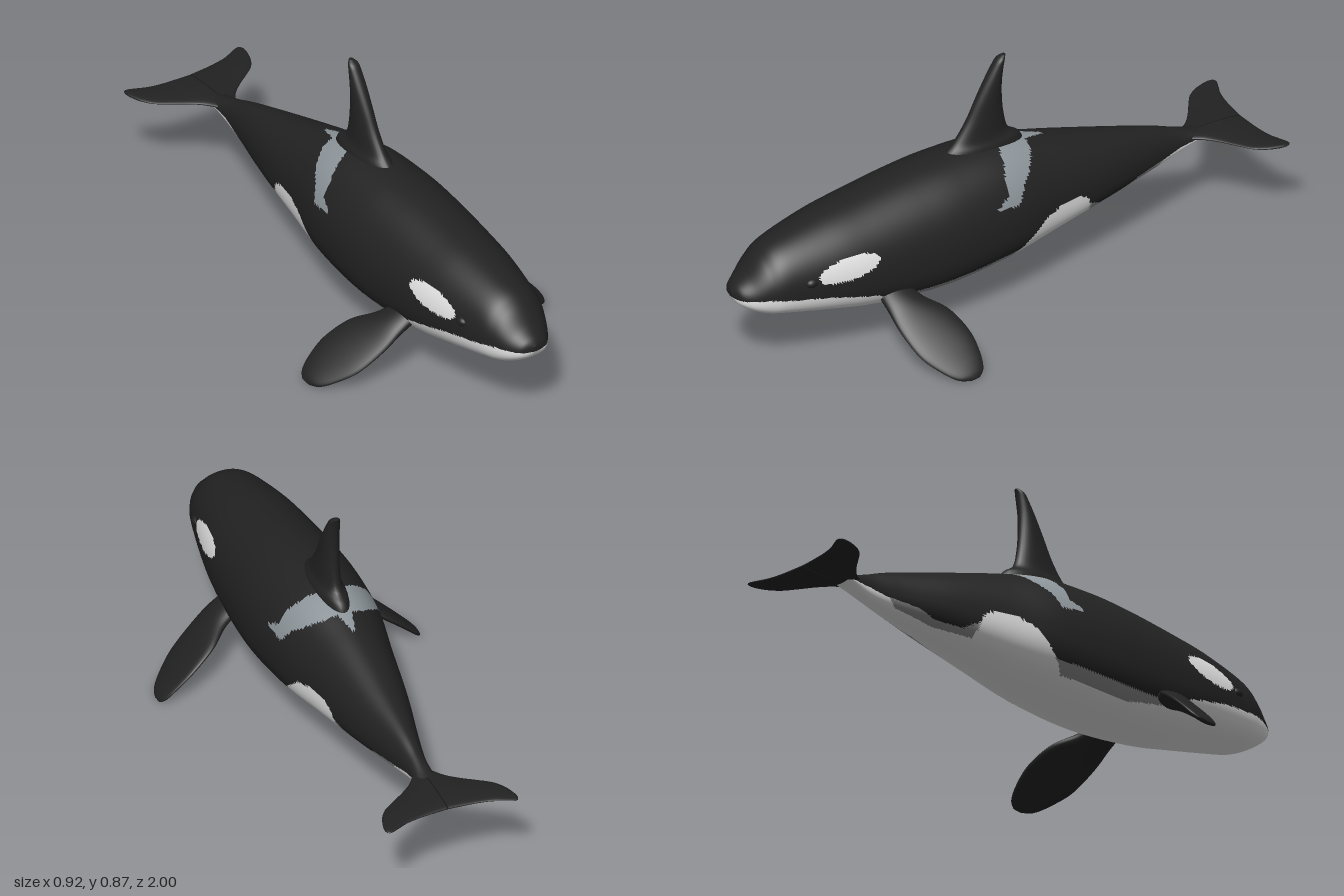
import * as THREE from 'three';

const paint = (name, color) => {
  const m = new THREE.MeshStandardMaterial({ color });
  m.name = name;
  return m;
};

// Smooth interpolation through rows of numbers, n samples in total
function smoothRows(rows, n) {
  const out = [];
  for (let i = 0; i < n; i++) {
    const f = (i / (n - 1)) * (rows.length - 1);
    const k = Math.min(Math.floor(f), rows.length - 2), t = f - k;
    const [a, b, c, d] = [-1, 0, 1, 2].map(o => rows[THREE.MathUtils.clamp(k + o, 0, rows.length - 1)]);
    out.push(b.map((_, j) => b[j] + 0.5 * t * (c[j] - a[j] + t * (2 * a[j] - 5 * b[j] + 4 * c[j] - d[j]
      + t * (3 * (b[j] - c[j]) + d[j] - a[j])))));
  }
  return out;
}

// Skin over closed rings with end caps; pick(centroid) chooses a material slot
function loft(rings, pick = () => 0, slots = 1) {
  const n = rings[0].length, last = rings.length - 1;
  const pts = rings.flat();
  const mid = ring => ring.reduce((s, p) => s.add(p), new THREE.Vector3()).divideScalar(n);
  pts.push(mid(rings[0]), mid(rings[last]));
  const tris = [];
  for (let j = 0; j < n; j++) {
    const k = (j + 1) % n;
    for (let i = 0; i < last; i++) {
      const a = i * n + j, b = i * n + k, c = a + n, d = b + n;
      tris.push([a, c, b], [b, c, d]);
    }
    tris.push([pts.length - 2, j, k], [pts.length - 1, last * n + k, last * n + j]);
  }
  // Turn all faces outward, whichever way the rings run
  let volume = 0;
  const v = new THREE.Vector3();
  for (const [a, b, c] of tris) volume += v.crossVectors(pts[a], pts[b]).dot(pts[c]);
  if (volume < 0) tris.forEach(t => t.reverse());

  const bins = Array.from({ length: slots }, () => []);
  for (const t of tris) {
    v.set(0, 0, 0);
    t.forEach(i => v.add(pts[i]));
    bins[pick(v.divideScalar(3))].push(...t);
  }
  const geo = new THREE.BufferGeometry().setFromPoints(pts);
  geo.setIndex(bins.flat());
  let start = 0;
  bins.forEach((b, i) => { geo.addGroup(start, b.length, i); start += b.length; });
  geo.computeVertexNormals();
  return geo;
}

// Ellipse ring around a centre with two half axes
const ellipse = (c, u, w, n = 32) => Array.from({ length: n }, (_, i) => {
  const a = (i / n) * Math.PI * 2;
  return new THREE.Vector3(...c).addScaledVector(u, Math.cos(a)).addScaledVector(w, Math.sin(a));
});
const vec = (x, y, z) => new THREE.Vector3(x, y, z);

// Height of a marking's edge at z; points run from nose to tail
function edge(points, z) {
  for (let i = 1; i < points.length; i++) {
    const [z0, y0] = points[i - 1], [z1, y1] = points[i];
    if (z <= z0 && z >= z1) return y0 + (y1 - y0) * (z0 - z) / (z0 - z1);
  }
  return -1;
}
function inside(poly, z, y) {
  let hit = false;
  poly.forEach(([z0, y0], i) => {
    const [z1, y1] = poly[(i + 1) % poly.length];
    if ((y0 > y) !== (y1 > y) && z < z0 + (z1 - z0) * (y - y0) / (y1 - y0)) hit = !hit;
  });
  return hit;
}

// Body stations: z, top, bottom, half width
const BODY = [
  [1, 0.325, 0.305, 0.012], [0.985, 0.345, 0.28, 0.05], [0.95, 0.373, 0.255, 0.08], [0.9, 0.427, 0.232, 0.108],
  [0.835, 0.468, 0.218, 0.132], [0.675, 0.51, 0.187, 0.167], [0.54, 0.533, 0.162, 0.186], [0.35, 0.56, 0.145, 0.2],
  [0.19, 0.573, 0.148, 0.202], [0, 0.57, 0.166, 0.185], [-0.18, 0.53, 0.193, 0.148], [-0.4, 0.468, 0.23, 0.105],
  [-0.6, 0.41, 0.262, 0.056], [-0.7, 0.373, 0.285, 0.037], [-0.79, 0.343, 0.317, 0.035], [-0.85, 0.336, 0.322, 0.028],
];
// Markings as z, y
const WHITE_EDGE = [[1, 0.305], [0.9, 0.31], [0.72, 0.287], [0.54, 0.245], [0.45, 0.2], [0.3, 0.175], [0.03, 0.19],
  [0, 0.215], [-0.05, 0.265], [-0.1, 0.31], [-0.18, 0.336], [-0.27, 0.328], [-0.3, 0.3], [-0.31, 0.235],
  [-0.45, 0.245], [-0.6, 0.272], [-0.63, 0.298], [-0.7, 0.315], [-0.79, 0.328]];
const GREY_EDGE = [[0.46, 0.215], [0.3, 0.21], [0, 0.228], [-0.3, 0.285], [-0.36, 0.255], [-0.46, 0.262],
  [-0.52, 0.285], [-0.63, 0.3]];
const SADDLE = [[0.09, 0.42], [0.06, 0.412], [0, 0.41], [-0.03, 0.46], [-0.075, 0.5], [-0.11, 0.535], [-0.13, 0.6],
  [-0.05, 0.6], [0.01, 0.555], [0.035, 0.5], [0.04, 0.45]];

function bodySlot({ x, y, z }) {
  const dz = z - 0.645, dy = y - 0.375 + 0.12 * dz;
  if ((dz / 0.107) ** 2 + (dy / 0.038) ** 2 < 1) return 1;
  if (y < edge(WHITE_EDGE, z)) return 1;
  if (y < edge(GREY_EDGE, z)) return 2;
  const spike = y > 0.45 && z < -0.1 && z > -0.19 && Math.abs(x) < 0.006 + (z + 0.19) * 0.25;
  return spike || inside(SADDLE, z, y) ? 3 : 0;
}

function bodyRing([z, top, bottom, w]) {
  const mid = bottom + (top - bottom) * 0.42;
  return Array.from({ length: 128 }, (_, i) => {
    const a = (i / 128) * Math.PI * 2, c = Math.cos(a), s = Math.sin(a);
    // The belly is squarer than the back
    const e = s < 0 ? 0.76 : 1;
    const p = q => Math.sign(q) * Math.abs(q) ** e;
    return vec(w * p(c), mid + p(s) * (s < 0 ? mid - bottom : top - mid), z);
  });
}

// Dorsal fin: y, leading z, trailing z, half thickness
const DORSAL = [[0.5, 0.22, -0.13, 0.055], [0.565, 0.18, -0.105, 0.05], [0.6, 0.143, -0.06, 0.037],
  [0.66, 0.1, -0.043, 0.032], [0.73, 0.063, -0.036, 0.029], [0.79, 0.03, -0.036, 0.026], [0.84, 0, -0.042, 0.022],
  [0.865, -0.018, -0.047, 0.018], [0.878, -0.038, -0.052, 0.007]];
// Flipper: x, y, leading z, trailing z, half thickness, twist
const FLIPPER = [[0.13, 0.24, 0.53, 0.42, 0.03, 0], [0.2, 0.205, 0.527, 0.395, 0.027, 0.005],
  [0.27, 0.16, 0.52, 0.335, 0.022, 0.015], [0.35, 0.103, 0.495, 0.305, 0.018, 0.02],
  [0.41, 0.057, 0.45, 0.304, 0.014, 0.015], [0.445, 0.027, 0.41, 0.314, 0.011, 0.008],
  [0.459, 0.014, 0.37, 0.335, 0.005, 0.002]];
// Tail fluke: x, leading z, trailing z, half thickness
const FLUKE = [[0, -0.72, -0.955, 0.014], [0.03, -0.74, -0.957, 0.013], [0.06, -0.78, -0.959, 0.012],
  [0.1, -0.815, -0.963, 0.01], [0.15, -0.85, -0.973, 0.009], [0.19, -0.88, -0.99, 0.008],
  [0.215, -0.915, -1, 0.007], [0.228, -0.95, -0.998, 0.005], [0.233, -0.97, -0.988, 0.002]];

export function createModel() {
  const black = paint('black skin', 0x222222);
  const white = paint('white skin', 0xe4e4e4);
  const grey = paint('grey flank', 0x8a8a8a);
  const saddle = paint('grey saddle', 0x8d959a);
  const model = new THREE.Group();
  model.name = 'whale';
  const add = (name, geo, mat) => {
    const mesh = new THREE.Mesh(geo, mat);
    mesh.name = name;
    model.add(mesh);
    return mesh;
  };

  add('body', loft(smoothRows(BODY, 260).map(bodyRing), bodySlot, 4), [black, white, grey, saddle]);

  add('dorsalFin', loft(smoothRows(DORSAL, 40).map(([y, f, b, t]) =>
    ellipse([0, y, (f + b) / 2], vec(0, 0, (f - b) / 2), vec(t, 0, 0)))), black);

  for (const [side, s] of [['left', 1], ['right', -1]]) {
    // Flippers slope outward and down, trailing edge raised
    add(side + 'Flipper', loft(smoothRows(FLIPPER, 40).map(([x, y, f, b, t, twist]) =>
      ellipse([s * x, y, (f + b) / 2], vec(0, -twist, (f - b) / 2), vec(s * t * 0.6, t * 0.8, 0)))), black);

    add(side + 'Fluke', loft(smoothRows(FLUKE, 40).map(([x, f, b, t]) =>
      ellipse([s * x, 0.331, (f + b) / 2], vec(0, 0, (f - b) / 2), vec(0, t, 0)))), black);

    const eye = add(side + 'Eye', new THREE.SphereGeometry(0.016, 20, 14), black);
    eye.position.set(s * 0.137, 0.352, 0.775);
    eye.scale.set(1, 1, 1.4);
  }
  return model;
}
